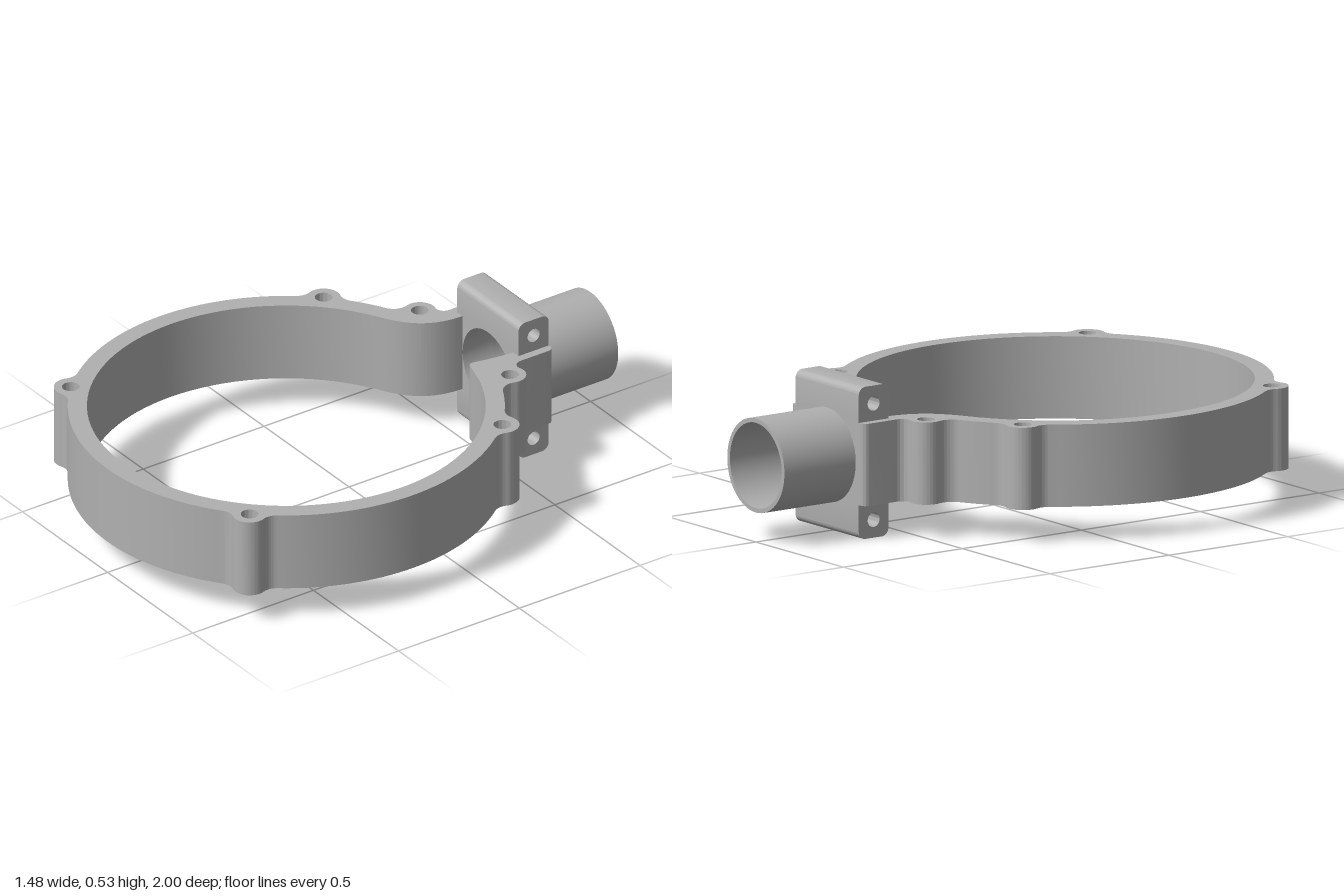
import * as THREE from 'three';
import { toCreasedNormals } from 'three/addons/utils/BufferGeometryUtils.js';

const CV = -0.26;            // ring centre in plan (plan v = -z)
const R_OUT = 0.74, R_IN = 0.675;
const BORE = 0.148, BORE_Y = 0.265;

const polar = (r, a) => new THREE.Vector2(r * Math.cos(a), CV + r * Math.sin(a));
const dir = (from, to) => Math.atan2(to.y - from.y, to.x - from.x);

function extrude(shape, depth) {
  const geo = new THREE.ExtrudeGeometry(shape, { depth, bevelEnabled: false, curveSegments: 32 });
  return toCreasedNormals(geo, 0.5);
}

function addHole(shape, x, y, r) {
  const hole = new THREE.Path();
  hole.absarc(x, y, r, 0, Math.PI * 2, true);
  shape.holes.push(hole);
}

// Follows the ring rim to a screw boss and enters it through a concave fillet;
// unless open, leaves it the same way. Returns the angle reached on the rim.
function traceBoss(path, prev, b, r, f, open) {
  const o = new THREE.Vector2(0, CV);
  const d = b.distanceTo(o), ang = dir(o, b), q = R_OUT + f;
  const alpha = Math.acos((q * q + d * d - (r + f) ** 2) / (2 * q * d));
  const f1 = polar(q, ang - alpha), f2 = polar(q, ang + alpha);
  path.absarc(0, CV, R_OUT, prev, ang - alpha, false);
  path.absarc(f1.x, f1.y, f, ang - alpha + Math.PI, dir(f1, b), true);
  if (open) {
    // last boss: blend into the straight neck wall instead
    const n = 0.03, nx = 0.21 + n;
    const c = new THREE.Vector2(nx, b.y + Math.sqrt((r + n) ** 2 - (nx - b.x) ** 2));
    path.absarc(b.x, b.y, r, dir(b, f1), dir(b, c), false);
    path.absarc(c.x, c.y, n, dir(c, b), -Math.PI, true);
  } else {
    path.absarc(b.x, b.y, r, dir(b, f1), dir(b, f2), false);
    path.absarc(f2.x, f2.y, f, dir(f2, b), ang + alpha + Math.PI, true);
  }
  return ang + alpha;
}

// Open ring with screw bosses and a neck at the back
function ringFrame() {
  const bosses = [[0.525, -0.782], [0.525, 0.265], [0.265, 0.48]].map(p => new THREE.Vector2(...p));
  const half = new THREE.Path();
  let a = -Math.PI / 2;
  bosses.forEach((b, i) => { a = traceBoss(half, a, b, i === 2 ? 0.055 : 0.058, 0.055, i === 2); });
  half.lineTo(0.21, 0.675);
  half.quadraticCurveTo(0.21, 0.7, 0.185, 0.7);
  half.lineTo(0.18, 0.7);
  half.lineTo(0.18, 0.575);
  half.lineTo(0.15, 0.575);
  const right = half.getPoints(16);
  const left = right.slice(1).reverse().map(p => new THREE.Vector2(-p.x, p.y));

  // Inner wall: short lip on one side, sweeping curve on the other
  const angle = x => Math.acos(x / R_IN);
  const start = polar(R_IN, angle(0.18)), end = polar(R_IN, angle(-0.31));
  const inner = new THREE.Path();
  inner.moveTo(0.15, 0.575);
  inner.quadraticCurveTo(0.143, 0.5, 0.127, 0.43);
  inner.quadraticCurveTo(0.122, 0.408, 0.14, 0.402);
  inner.lineTo(start.x, start.y);
  inner.absarc(0, CV, R_IN, angle(0.18), angle(-0.31) - Math.PI * 2, true);
  inner.bezierCurveTo(end.x + 0.1, end.y + 0.05, -0.152, 0.45, -0.15, 0.575);

  const shape = new THREE.Shape([...right, ...inner.getPoints(48).slice(1, -1), ...left]);
  for (const b of bosses) for (const s of [1, -1]) addHole(shape, s * b.x, b.y, 0.03);
  return extrude(shape, 0.285).rotateX(-Math.PI / 2).translate(0, 0.12, 0);
}

// Flange lug: profile in plan depth and height, with a cross hole, running along x
function lug() {
  const w = 0.0625, h = 0.112, r = 0.028;
  const s = new THREE.Shape();
  s.moveTo(-w, 0);
  s.lineTo(w, 0);
  s.lineTo(w, h - r);
  s.absarc(w - r, h - r, r, 0, Math.PI / 2, false);
  s.absarc(-w + r, h - r, r, Math.PI / 2, Math.PI, false);
  s.lineTo(-w, 0);
  addHole(s, 0, 0.05, 0.025);
  return extrude(s, 0.36).translate(0, 0, -0.18).rotateY(Math.PI / 2);
}

export function createModel() {
  const group = new THREE.Group();
  const grey = new THREE.MeshStandardMaterial({ color: 0xb0b0b0 });
  grey.name = 'plain grey';
  const add = (name, geo) => {
    const mesh = new THREE.Mesh(geo, grey);
    mesh.name = name;
    group.add(mesh);
    return mesh;
  };

  add('ringFrame', ringFrame());

  // Flange middle with the bore through it
  const block = new THREE.Shape();
  block.moveTo(-0.18, 0.112);
  block.lineTo(0.18, 0.112);
  block.lineTo(0.18, 0.415);
  block.lineTo(-0.18, 0.415);
  block.closePath();
  addHole(block, 0, BORE_Y, BORE);
  add('flangeBlock', extrude(block, 0.125).translate(0, 0, -0.7));

  // Lugs above and below the bore
  add('upperLug', lug()).position.set(0, 0.415, -0.6375);
  const lower = add('lowerLug', lug());
  lower.position.set(0, 0.112, -0.6375);
  lower.rotation.z = Math.PI;

  // Round pipe behind the flange
  const ring = new THREE.Shape();
  ring.absarc(0, BORE_Y, 0.163, 0, Math.PI * 2, false);
  addHole(ring, 0, BORE_Y, BORE);
  add('pipe', extrude(ring, 0.3).translate(0, 0, -1));

  return group;
}
